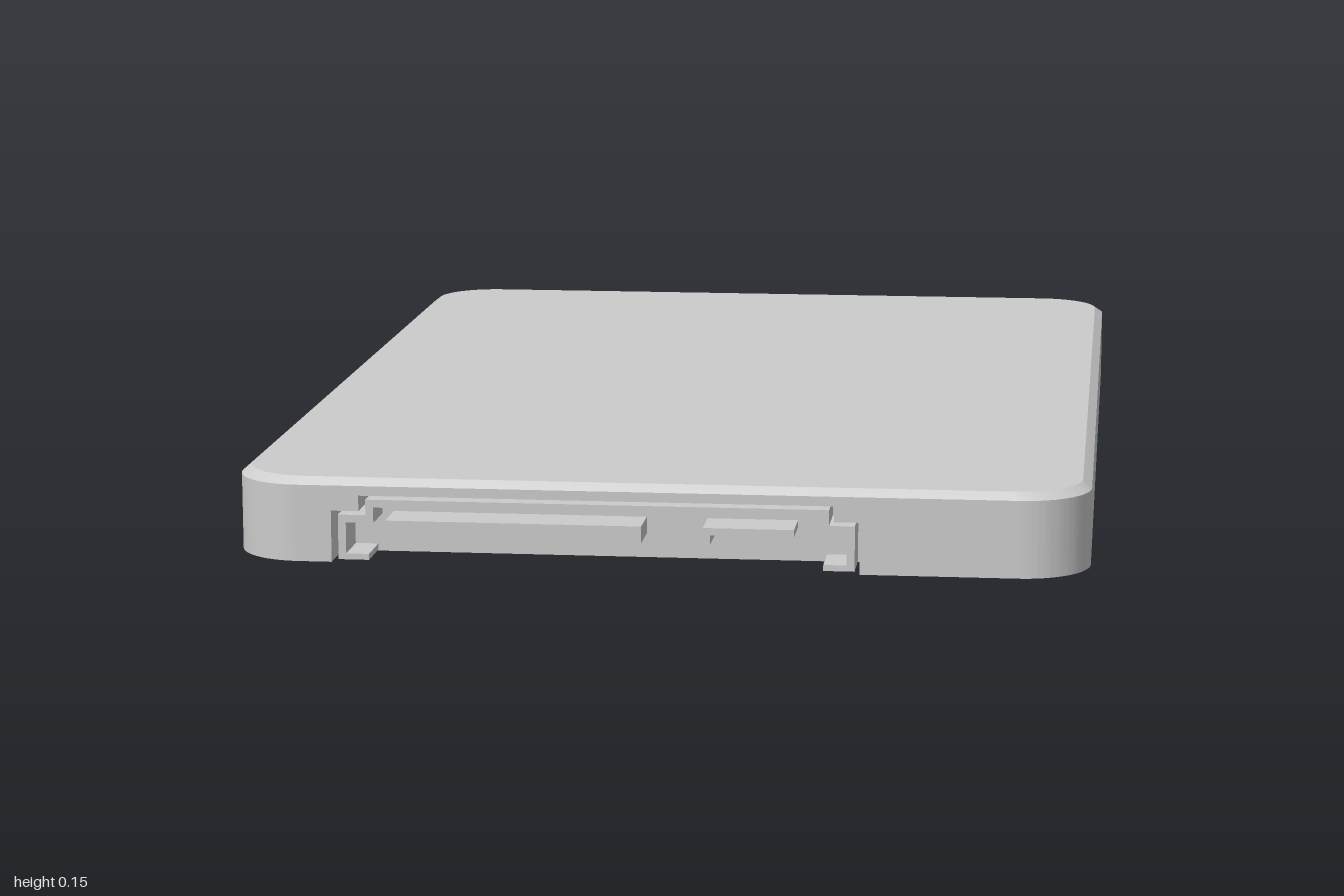
import * as THREE from 'three';
import { toCreasedNormals } from 'three/addons/utils/BufferGeometryUtils.js';

const W = 0.705, L = 1, R = 0.115;      // half width, half length, corner radius
const BACK = 0.91;                      // z of the connector bay's rear wall
const LOW = [-0.534, 0.334], HIGH = [-0.488, 0.292]; // bay widths below and above its step
const FEET = [[-0.592, 0.66], [0.592, 0.66], [-0.592, -0.78], [0.592, -0.78]];

const material = new THREE.MeshStandardMaterial({ color: 0xcccccc });

function mesh(name, geometry) {
  const m = new THREE.Mesh(toCreasedNormals(geometry, 0.5), material);
  m.name = name;
  return m;
}

// Plan outline (shape y is model z), with an optional notch for the connector
function plan(inset = 0, notch = null) {
  const w = W - inset, l = L - inset, r = R - inset;
  const s = new THREE.Shape();
  s.moveTo(-w + r, -l);
  s.lineTo(w - r, -l);
  s.absarc(w - r, -l + r, r, -Math.PI / 2, 0);
  s.lineTo(w, l - r);
  s.absarc(w - r, l - r, r, 0, Math.PI / 2);
  if (notch) {
    s.lineTo(notch[1] + inset, l);
    s.lineTo(notch[1] + inset, BACK - inset);
    s.lineTo(notch[0] - inset, BACK - inset);
    s.lineTo(notch[0] - inset, l);
  }
  s.lineTo(-w + r, l);
  s.absarc(-w + r, l - r, r, Math.PI / 2, Math.PI);
  s.lineTo(-w, -l + r);
  s.absarc(-w + r, -l + r, r, Math.PI, Math.PI * 1.5);
  return s;
}

function circle(x, z, r) {
  const s = new THREE.Shape();
  s.absarc(x, z, r, 0, Math.PI * 2);
  return s;
}

// Extrude a plan shape between two heights
function slab(shape, y0, y1) {
  const g = new THREE.ExtrudeGeometry(shape, { depth: y1 - y0, bevelEnabled: false, curveSegments: 16 });
  return g.rotateX(Math.PI / 2).translate(0, y1, 0);
}

// Extrude a front-view polygon between two depths
function profile(points, z0, z1) {
  const s = new THREE.Shape(points.map(([x, y]) => new THREE.Vector2(x, y)));
  return new THREE.ExtrudeGeometry(s, { depth: z1 - z0, bevelEnabled: false }).translate(0, 0, z0);
}

// Stepped bay outline, inset by o, from bottom left over the top to bottom right
function stepped(o, bottom) {
  return [
    [LOW[0] + o, bottom], [LOW[0] + o, 0.096 - o], [HIGH[0] + o, 0.096 - o], [HIGH[0] + o, 0.122 - o],
    [HIGH[1] - o, 0.122 - o], [HIGH[1] - o, 0.096 - o], [LOW[1] - o, 0.096 - o], [LOW[1] - o, bottom],
  ];
}

export function createModel() {
  const model = new THREE.Group();
  model.name = 'storageDrive';

  // Case, in layers so that the connector bay and screw holes are open
  const housing = new THREE.Group();
  housing.name = 'case';
  const rim = plan(0, LOW);
  rim.holes.push(plan(0.02, LOW));
  const base = plan(0, LOW);
  base.holes.push(...FEET.map(([x, z]) => circle(x, z, 0.042)));
  housing.add(
    mesh('bottomRim', slab(rim, 0.01, 0.014)),
    mesh('base', slab(base, 0.014, 0.07)),
    mesh('lowerWall', slab(plan(0, LOW), 0.07, 0.096)),
    mesh('upperWall', slab(plan(0, HIGH), 0.096, 0.122)),
    mesh('topPlate', slab(plan(), 0.122, 0.138)),
  );

  // Chamfered lid: draw in the upper edge
  const lid = slab(plan(), 0.138, 0.15);
  const p = lid.attributes.position;
  for (let i = 0; i < p.count; i++) {
    if (p.getY(i) > 0.145) {
      p.setX(i, p.getX(i) * (W - 0.015) / W);
      p.setZ(i, p.getZ(i) * (L - 0.015) / L);
    }
  }
  lid.computeVertexNormals();
  housing.add(mesh('lid', lid));
  model.add(housing);

  // Raised rings around the screw holes
  for (const [x, z] of FEET) {
    const ring = circle(x, z, 0.053);
    ring.holes.push(circle(x, z, 0.042));
    model.add(mesh('screwRing', slab(ring, 0, 0.016)));
  }

  // Connector: stepped shroud with short lips at the bottom, and two keyed tongues
  const connector = new THREE.Group();
  connector.name = 'connector';
  const inner = stepped(0.022, 0.022).reverse();
  const shroud = [
    ...stepped(0.009, 0.012),
    [0.274, 0.012], [0.274, 0.022],
    ...inner,
    [-0.474, 0.022], [-0.474, 0.012],
  ];
  connector.add(
    mesh('shroud', profile(shroud, BACK - 0.005, 0.988)),
    mesh('powerTongue', profile([
      [-0.447, 0.066], [-0.036, 0.066], [-0.036, 0.05], [-0.024, 0.05], [-0.024, 0.078], [-0.447, 0.078],
    ], BACK - 0.005, 0.985)),
    mesh('dataTongue', profile([
      [0.077, 0.05], [0.089, 0.05], [0.089, 0.066], [0.226, 0.066], [0.226, 0.078], [0.077, 0.078],
    ], BACK - 0.005, 0.985)),
  );
  model.add(connector);

  return model;
}
